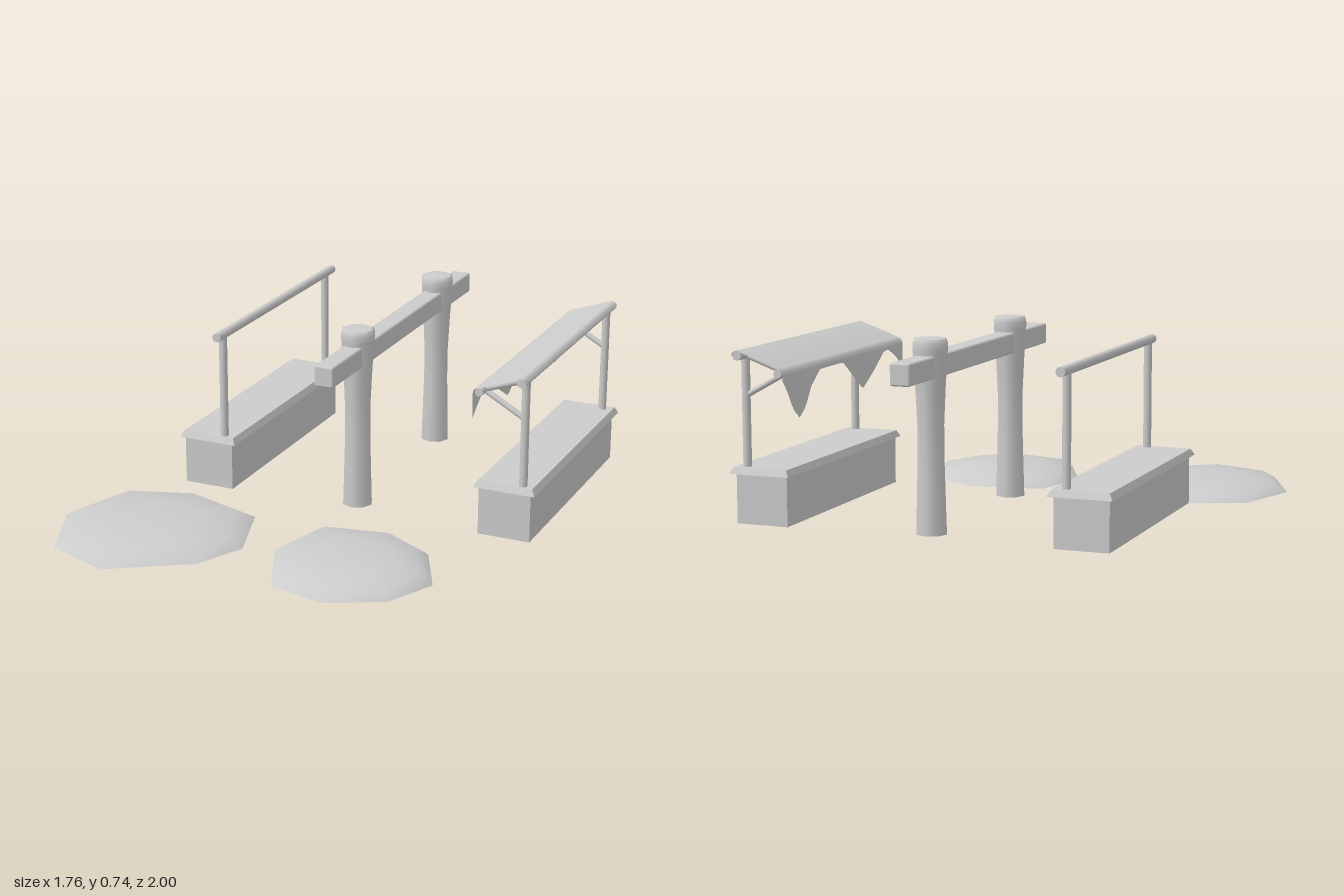
import * as THREE from 'three';
import { RoundedBoxGeometry } from 'three/addons/geometries/RoundedBoxGeometry.js';

const grey = new THREE.MeshStandardMaterial({ color: 0xcccccc });
const sheet = new THREE.MeshStandardMaterial({ color: 0xcccccc, side: THREE.DoubleSide });

function add(parent, name, geometry, x = 0, y = 0, z = 0, material = grey) {
  const mesh = new THREE.Mesh(geometry, material);
  mesh.name = name;
  mesh.position.set(x, y, z);
  parent.add(mesh);
  return mesh;
}

// Round pole between two points
function pole(parent, name, from, to, radius) {
  const a = new THREE.Vector3(...from), b = new THREE.Vector3(...to);
  const dir = b.clone().sub(a);
  const mesh = add(parent, name, new THREE.CylinderGeometry(radius, radius, dir.length(), 12));
  mesh.position.copy(a).add(b).multiplyScalar(0.5);
  mesh.quaternion.setFromUnitVectors(new THREE.Vector3(0, 1, 0), dir.normalize());
}

const POST_Z = [0.127, -0.8];
const BAR_Z = [0.18, -0.868];

// Counter with a bevelled top, two posts and a rail
function stall(name, x, postX) {
  const group = new THREE.Group();
  group.name = name;
  add(group, 'counter', new THREE.BoxGeometry(0.207, 0.2, 0.965), x, 0.12, -0.335);

  const top = new THREE.BoxGeometry(0.243, 0.025, 1.005).toNonIndexed();
  const p = top.attributes.position;
  for (let i = 0; i < p.count; i++) {
    if (p.getY(i) > 0) {
      p.setX(i, p.getX(i) - Math.sign(p.getX(i)) * 0.013);
      p.setZ(i, p.getZ(i) - Math.sign(p.getZ(i)) * 0.013);
    }
  }
  top.computeVertexNormals();
  add(group, 'counterTop', top, x, 0.223, -0.342);

  for (const z of POST_Z) pole(group, 'post', [postX, 0.22, z], [postX, 0.655, z], 0.016);
  pole(group, 'rail', [postX, 0.655, BAR_Z[0]], [postX, 0.655, BAR_Z[1]], 0.018);
  return group;
}

// Height of the torn lower edge at depth z
const HEM = [[0.2, 0.485], [0.13, 0.54], [0.05, 0.58], [0.0, 0.577], [-0.1, 0.515], [-0.205, 0.455],
  [-0.29, 0.52], [-0.365, 0.578], [-0.57, 0.578], [-0.65, 0.525], [-0.7, 0.455], [-0.75, 0.42],
  [-0.8, 0.46], [-0.84, 0.53], [-0.88, 0.58]];
function hem(z) {
  for (let i = 1; i < HEM.length; i++) {
    const [z0, y0] = HEM[i - 1], [z1, y1] = HEM[i];
    if (z >= z1) return y0 + (y1 - y0) * (z - z0) / (z1 - z0);
  }
  return 0.58;
}

// Cloth draped over the two rails and hanging on the inner side
function awning() {
  const profile = [[0.84, 0.655], [0.833, 0.669], [0.818, 0.675], [0.73, 0.643], [0.652, 0.615], [0.637, 0.606], [0.632, 0.59]];
  const cols = 52;
  const geo = new THREE.PlaneGeometry(1, 1, cols, profile.length);
  const p = geo.attributes.position;
  for (let r = 0; r <= profile.length; r++) {
    for (let c = 0; c <= cols; c++) {
      const z = 0.187 - 1.06 * c / cols;
      const [x, y] = profile[r] ?? [0.631 + 0.004 * Math.sin(z * 11), hem(z)];
      p.setXYZ(r * (cols + 1) + c, x, y, z);
    }
  }
  // Orient the faces upward
  const idx = geo.index;
  for (let i = 0; i < idx.count; i += 3) {
    const t = idx.getX(i);
    idx.setX(i, idx.getX(i + 1));
    idx.setX(i + 1, t);
  }
  geo.computeVertexNormals();
  if (geo.attributes.normal.getY(3 * (cols + 1) + 9) < 0) {
    idx.array.reverse();
    geo.computeVertexNormals();
  }
  return geo;
}

// Low domed mound from an uneven outline, with a flat base
function mound(parent, cx, cz, outline) {
  const rings = [[1, 0], [0.84, 0.035], [0.48, 0.055]];
  const n = outline.length, pos = [], idx = [];
  for (const [s, y] of rings)
    for (const [x, z] of outline) pos.push((x - cx) * s, y, (z - cz) * s);
  pos.push(0, 0.064, 0);
  const apex = rings.length * n;
  for (let i = 0; i < n; i++) {
    const j = (i + 1) % n;
    for (let r = 0; r < rings.length - 1; r++) {
      const a = r * n + i, b = r * n + j;
      idx.push(a, a + n, b, b, a + n, b + n);
    }
    idx.push((rings.length - 1) * n + i, apex, (rings.length - 1) * n + j);
  }
  // Separate base vertices keep the rim sharp
  const base = pos.length / 3;
  for (const [x, z] of outline) pos.push(x - cx, 0, z - cz);
  for (let i = 1; i < n - 1; i++) idx.push(base, base + i, base + i + 1);
  const geo = new THREE.BufferGeometry();
  geo.setAttribute('position', new THREE.Float32BufferAttribute(pos, 3));
  geo.setIndex(idx);
  geo.computeVertexNormals();
  add(parent, 'mound', geo, cx, 0, cz);
}

export function createModel() {
  const model = new THREE.Group();
  model.name = 'marketStalls';

  model.add(stall('openStall', -0.497, -0.435));

  // Covered stall with awning frame
  const covered = stall('coveredStall', 0.754, 0.82);
  pole(covered, 'lowerRail', [0.655, 0.596, BAR_Z[0]], [0.655, 0.596, BAR_Z[1]], 0.016);
  for (const z of POST_Z) {
    pole(covered, 'awningArm', [0.655, 0.596, z], [0.82, 0.655, z], 0.014);
    pole(covered, 'awningBrace', [0.66, 0.59, z], [0.815, 0.503, z], 0.011);
  }
  add(covered, 'awningCloth', awning(), 0, 0, 0, sheet);
  model.add(covered);

  // Two waisted pillars carrying a long beam
  const pillarProfile = [[0.06, 0.02], [0.057, 0.12], [0.052, 0.3], [0.052, 0.42], [0.059, 0.56],
    [0.068, 0.69], [0.069, 0.715], [0.063, 0.732], [0.055, 0.735], [0, 0.736]].map(([r, y]) => new THREE.Vector2(r, y));
  for (const z of [0.06, -0.727])
    add(model, 'pillar', new THREE.LatheGeometry(pillarProfile, 8), 0.112, 0, z);
  add(model, 'beam', new RoundedBoxGeometry(0.078, 0.082, 1.37, 1, 0.008), 0.112, 0.635, -0.315);

  mound(model, -0.495, 0.607, [[-0.495, 0.225], [-0.205, 0.32], [-0.11, 0.61], [-0.2, 0.805],
    [-0.495, 0.995], [-0.755, 0.9], [-0.88, 0.605], [-0.785, 0.32]]);
  mound(model, 0.35, 0.6, [[0.36, 0.265], [0.54, 0.365], [0.66, 0.61], [0.57, 0.805],
    [0.36, 0.915], [0.135, 0.86], [0.005, 0.57], [0.07, 0.32]]);
  return model;
}
